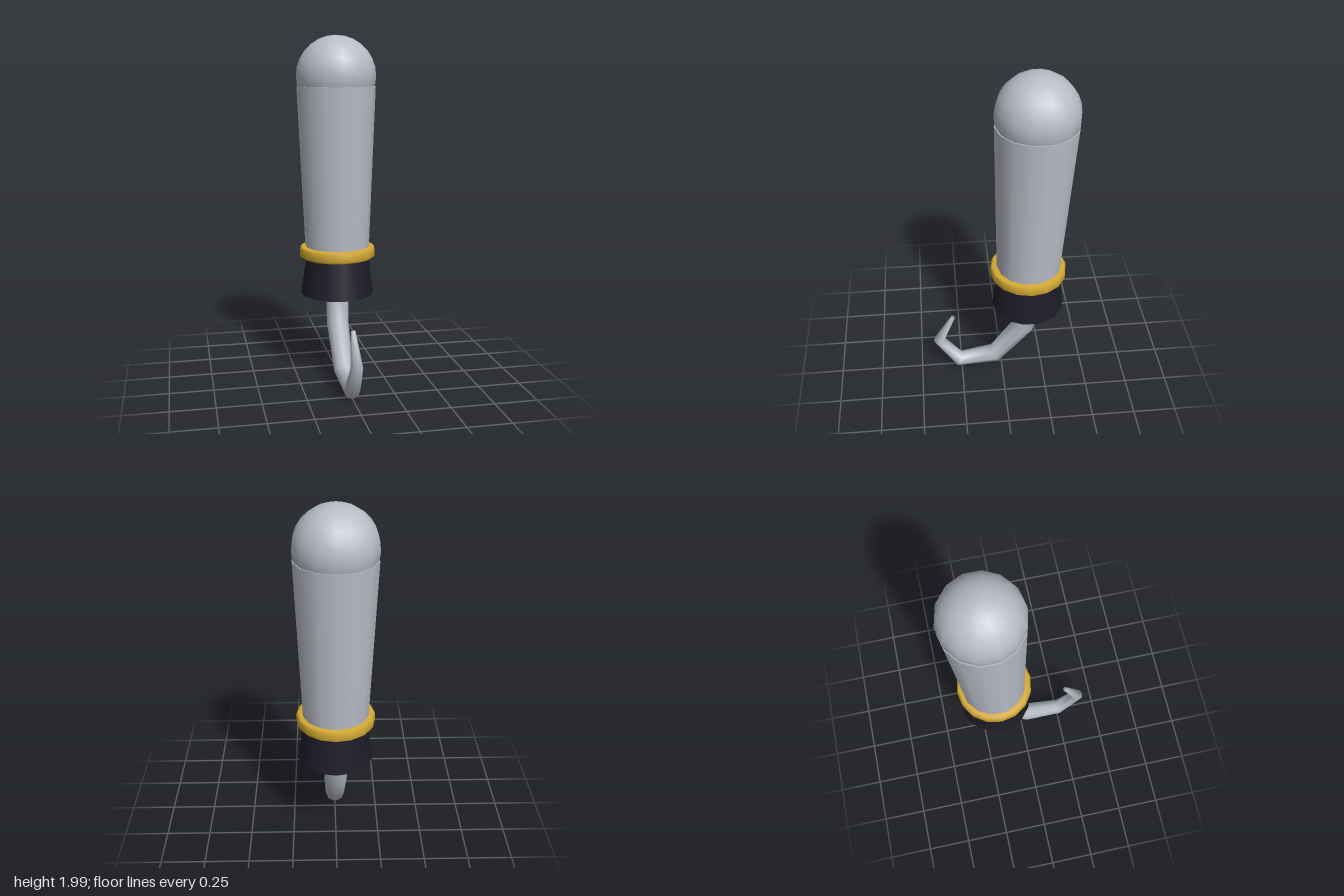
import * as THREE from 'three';

const steel = new THREE.MeshStandardMaterial({ color: 0xb8bcc6 });
steel.name = 'steel';
const gold = new THREE.MeshStandardMaterial({ color: 0xd4a933 });
gold.name = 'gold';
const darkCloth = new THREE.MeshStandardMaterial({ color: 0x1c1c28 });
darkCloth.name = 'dark cloth';

function add(group, name, geometry, material, y = 0, z = 0) {
  const mesh = new THREE.Mesh(geometry, material);
  mesh.name = name;
  mesh.position.set(0, y, z);
  group.add(mesh);
  return mesh;
}

// Tapering tube in the yz plane; rows are [z, y, radius], mitred at each bend
function taperedTube(rows, sides) {
  const points = rows.map(([z, y]) => new THREE.Vector2(z, y));
  const position = [], index = [];
  const last = rows.length - 1;
  const direction = (a, b) => points[b].clone().sub(points[a]).normalize();
  rows.forEach(([z, y, r], i) => {
    const before = direction(Math.max(i - 1, 0), Math.max(i, 1));
    const after = direction(Math.min(i, last - 1), Math.min(i + 1, last));
    const along = before.add(after).normalize();
    for (let j = 0; j < sides; j++) {
      const a = (j / sides) * Math.PI * 2;
      const s = Math.sin(a) * r;
      position.push(Math.cos(a) * r, y + along.x * s, z - along.y * s);
    }
  });
  for (let i = 0; i < last; i++) {
    for (let j = 0; j < sides; j++) {
      const a = i * sides + j, b = i * sides + (j + 1) % sides;
      index.push(a, a + sides, b, b, a + sides, b + sides);
    }
  }
  // flat tip
  const tip = last * sides;
  for (let j = 1; j < sides - 1; j++) index.push(tip, tip + j + 1, tip + j);
  // turn the faces outward
  for (let k = 0; k < index.length; k += 3) {
    [index[k + 1], index[k + 2]] = [index[k + 2], index[k + 1]];
  }
  const geometry = new THREE.BufferGeometry();
  geometry.setAttribute('position', new THREE.Float32BufferAttribute(position, 3));
  geometry.setIndex(index);
  geometry.computeVertexNormals();
  return geometry;
}

export function createModel() {
  const group = new THREE.Group();
  group.name = 'hookArm';

  // Forearm, leaning slightly back towards the top
  const forearm = new THREE.CylinderGeometry(0.228, 0.186, 0.97, 14);
  forearm.applyMatrix4(new THREE.Matrix4().makeShear(0, 0, 0, -0.03, 0, 0));
  const p = forearm.attributes.position;
  for (let i = 0; i < p.count; i++) {
    const y = p.getY(i);
    p.setXYZ(i, Math.abs(p.getX(i)) < 1e-6 ? 0 : p.getX(i), y, p.getZ(i));
  }
  const base = new THREE.CylinderGeometry(0.228, 0.186, 0.97, 14);
  const q = base.attributes.position;
  for (let i = 0; i < q.count; i++) q.setZ(i, q.getZ(i) - 0.03 * q.getY(i));
  add(group, 'forearm', base, steel, 1.228, -0.175);

  // Rounded elbow end
  const dome = new THREE.SphereGeometry(0.23, 14, 14);
  dome.rotateY(Math.PI / 2);
  add(group, 'elbowDome', dome, steel, 1.77, -0.19);

  // Ring around the wrist
  const ringProfile = [
    [0.165, -0.033], [0.21, -0.033], [0.222, -0.022],
    [0.222, 0.022], [0.21, 0.033], [0.165, 0.033],
  ].map(([x, y]) => new THREE.Vector2(x, y));
  add(group, 'wristRing', new THREE.LatheGeometry(ringProfile, 16), gold, 0.753, -0.158);

  // Flared cuff
  add(group, 'cuff', new THREE.CylinderGeometry(0.178, 0.214, 0.25, 14), darkCloth, 0.625, -0.158);

  // Hook, tapering to a blunt tip
  const hook = taperedTube([
    [-0.158, 0.53, 0.07],
    [-0.143, 0.315, 0.066],
    [0.04, 0.08, 0.057],
    [0.265, 0.05, 0.048],
    [0.385, 0.225, 0.036],
    [0.292, 0.405, 0.013],
  ], 8);
  add(group, 'hook', hook, steel);

  return group;
}
